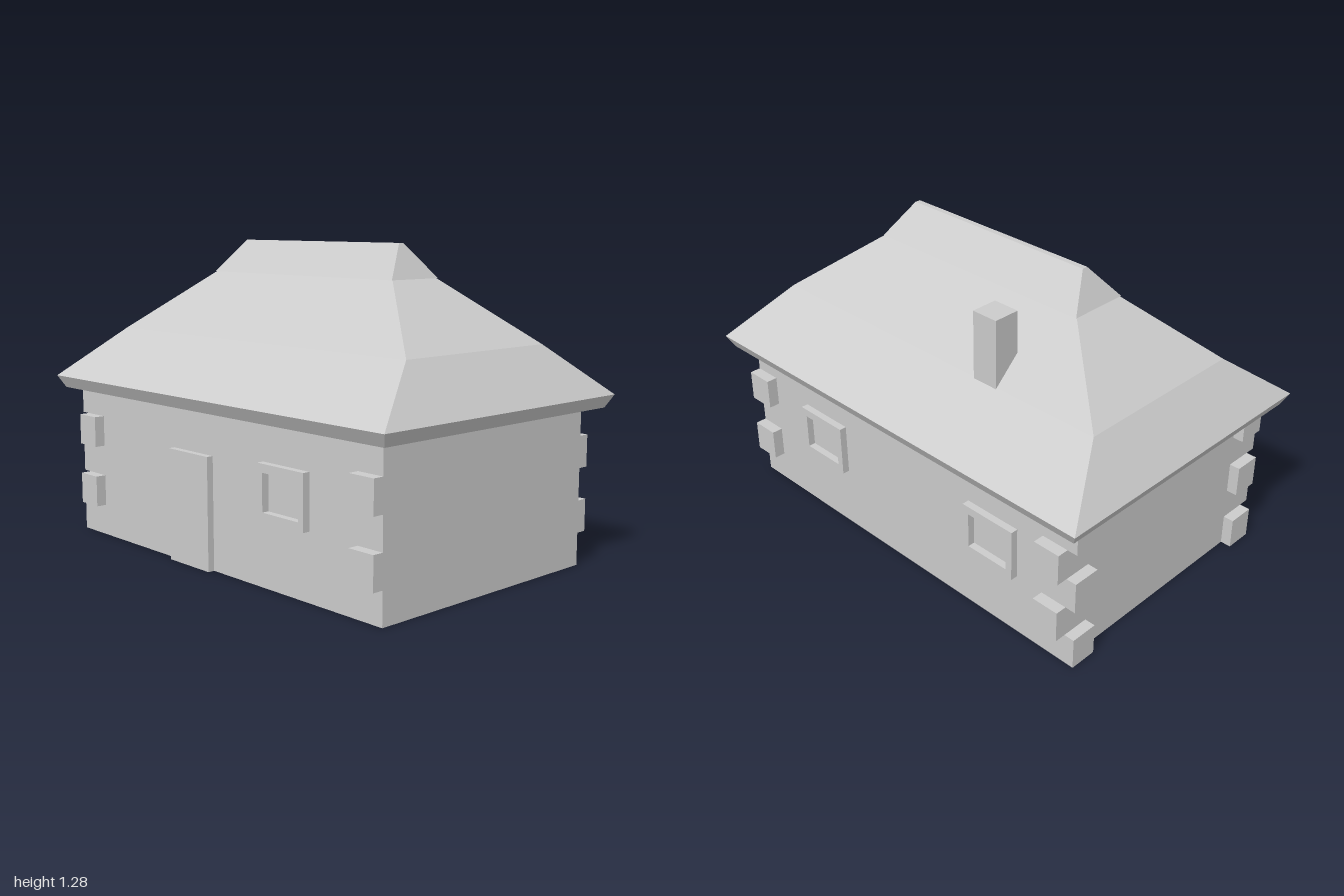
import * as THREE from 'three';

const material = new THREE.MeshStandardMaterial({ color: 0xcccccc, flatShading: true });

function add(parent, name, geometry) {
  const mesh = new THREE.Mesh(geometry, material);
  mesh.name = name;
  parent.add(mesh);
  return mesh;
}

// Box given by its limits on each axis
function box(parent, name, [x0, x1], [y0, y1], [z0, z1]) {
  const mesh = add(parent, name, new THREE.BoxGeometry(x1 - x0, y1 - y0, z1 - z0));
  mesh.position.set((x0 + x1) / 2, (y0 + y1) / 2, (z0 + z1) / 2);
}

// Closed solid through stacked rectangles [halfX, y, halfZ], listed bottom to top
function stackedRectangles(rings) {
  const corners = [[-1, 1], [1, 1], [1, -1], [-1, -1]];
  const points = rings.flatMap(([hx, y, hz]) => corners.flatMap(([sx, sz]) => [sx * hx, y, sz * hz]));
  const index = [0, 2, 1, 0, 3, 2];
  for (let r = 0; r < rings.length - 1; r++) {
    for (let i = 0; i < 4; i++) {
      const a = r * 4 + i, b = r * 4 + (i + 1) % 4;
      index.push(a, b, b + 4, a, b + 4, a + 4);
    }
  }
  const t = (rings.length - 1) * 4;
  index.push(t, t + 1, t + 2, t, t + 2, t + 3);
  const geometry = new THREE.BufferGeometry();
  geometry.setAttribute('position', new THREE.Float32BufferAttribute(points, 3));
  geometry.setIndex(index);
  const flat = geometry.toNonIndexed();
  flat.computeVertexNormals();
  return flat;
}

function rectangle(path, hw, hh) {
  path.moveTo(-hw, -hh);
  path.lineTo(hw, -hh);
  path.lineTo(hw, hh);
  path.lineTo(-hw, hh);
  path.closePath();
  return path;
}

export function createModel() {
  const house = new THREE.Group();
  house.name = 'house';

  const right = 0.553, left = -0.56, front = 0.912, back = -0.89;
  box(house, 'walls', [left, right], [0, 0.66], [back, front]);

  // Roof with flared eaves, and the ridge cap on top
  add(house, 'roof', stackedRectangles([
    [0.62, 0.638, 0.973], [0.648, 0.69, 1], [0.381, 0.895, 0.843], [0.12, 1.147, 0.525],
  ]));
  add(house, 'ridgeCap', stackedRectangles([[0.128, 1.145, 0.53], [0.012, 1.28, 0.455]]));

  box(house, 'chimney', [0.273, 0.386], [0.85, 1.175], [-0.375, -0.26]);

  // Corner stones: two on each end of both long walls
  const stones = new THREE.Group();
  stones.name = 'cornerStones';
  house.add(stones);
  for (const y of [[0.132, 0.264], [0.395, 0.525]]) {
    for (const z of [[front - 0.12, front], [back, back + 0.117]]) {
      box(stones, 'sideStone', [right - 0.01, 0.6], y, z);
      box(stones, 'sideStone', [-0.605, left + 0.01], y, z);
    }
  }
  // Three on each end of the back wall, staggered with the side stones
  for (const y of [[0, 0.132], [0.264, 0.395], [0.525, 0.645]]) {
    for (const x of [[left, left + 0.117], [right - 0.117, right]]) {
      box(stones, 'backStone', x, y, [-0.935, back + 0.01]);
    }
  }

  // Window frames standing out from the long walls
  const frameShape = rectangle(new THREE.Shape(), 0.127, 0.109);
  frameShape.holes.push(rectangle(new THREE.Path(), 0.098, 0.075));
  const frame = new THREE.ExtrudeGeometry(frameShape, { depth: 0.03, bevelEnabled: false });
  for (const [x, z, side] of [[right, 0.453, 1], [right, -0.521, 1], [left, 0.42, -1]]) {
    const mesh = add(house, 'windowFrame', frame);
    mesh.position.set(x, 0.375, z);
    mesh.rotation.y = side * Math.PI / 2;
  }

  box(house, 'door', [-0.588, left + 0.01], [0, 0.46], [-0.26, -0.01]);

  return house;
}
